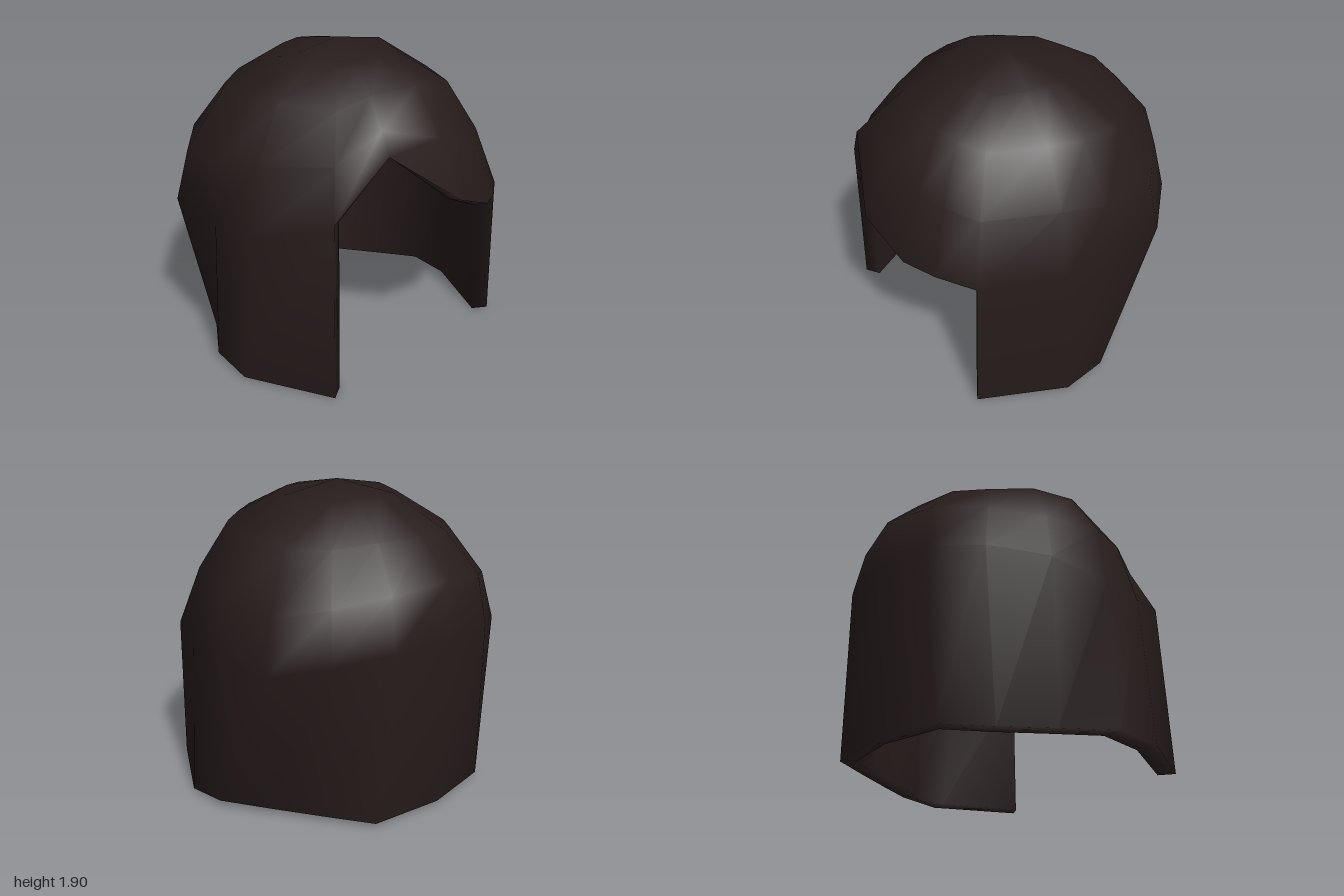
import * as THREE from 'three';

// Columns: plan position and height of the widest ring, fullness of the dome,
// heights of the three rings above it, and (for sides and back) the lower hem.
const half = [
  { mid: [0.93, 0.93, 0.24], full: 0.93, rise: [1.82, 1.64, 1.33], hem: [1.0, 0.01, 0.22] },
  { mid: [0.95, 0.93, -0.06], full: 1, rise: [1.84, 1.64, 1.31], hem: [0.99, 0.04, -0.06] },
  { mid: [0.94, 0.95, -0.48], full: 0.96, rise: [1.81, 1.6, 1.26], hem: [0.81, 0.035, -0.34] },
  { mid: [0.7, 1.02, -0.75], full: 0.96, rise: [1.81, 1.6, 1.32], hem: [0.63, 0.03, -0.61] },
  { mid: [0.39, 1.08, -0.93], full: 0.98, rise: [1.83, 1.63, 1.38], hem: [0.46, 0.03, -0.87] },
];
const backCentre = { mid: [0, 1.09, -1.0], full: 0.99, rise: [1.84, 1.64, 1.42], hem: [0, 0.03, -0.94] };

// Front corners, higher on the right where the fringe parts
const rightCorner = { mid: [-0.71, 1.1, 0.71], full: 0.89, rise: [1.81, 1.63, 1.38], hem: [-0.73, 0, 0.735] };
const leftCorner = { mid: [0.73, 0.945, 0.715], full: 0.89, rise: [1.81, 1.63, 1.32], hem: [0.73, 0, 0.735] };

// Swept fringe, from the model's left to its right
const fringe = [
  { mid: [0.52, 0.97, 0.86], full: 0.88, rise: [1.82, 1.66, 1.35] },
  { mid: [0.33, 0.99, 0.95], full: 0.87, rise: [1.83, 1.69, 1.38] },
  { mid: [0, 1.13, 1.0], full: 0.86, rise: [1.84, 1.72, 1.46] },
  { mid: [-0.4, 1.44, 0.81], full: 0.9, rise: [1.83, 1.7, 1.55] },
];

const flip = ([x, y, z]) => [-x, y, z];
const columns = [
  rightCorner,
  ...half.map((c) => ({ ...c, mid: flip(c.mid), hem: flip(c.hem) })),
  backCentre,
  ...[...half].reverse(),
  leftCorner,
  ...fringe,
];

function columnPoints({ mid: [x, y, z], full, rise, hem }) {
  const points = [0.4, 0.74, 0.96].map((f, i) => [x * f * full, rise[i], z * f * full]);
  points.push([x, y, z]);
  if (hem) points.push(hem);
  return points;
}

// The lining follows the outside, drawn inwards
function inset([x, y, z], row) {
  return [x * 0.875, y - [0.07, 0.07, 0.05, 0.02, 0][row], z * 0.92];
}

function hairGeometry() {
  const positions = [];
  const index = [];
  const add = (p) => positions.push(...p) / 3 - 1;
  const quad = (a, b, c, d) => index.push(a, b, c, a, c, d);

  const apexOut = add([0, 1.9, -0.03]);
  const apexIn = add([0, 1.83, -0.03]);
  const outer = [];
  const inner = [];
  for (const column of columns) {
    const points = columnPoints(column);
    outer.push(points.map(add));
    inner.push(points.map((p, row) => add(inset(p, row))));
  }

  // Outside and lining
  const n = columns.length;
  for (let i = 0; i < n; i++) {
    const j = (i + 1) % n;
    index.push(apexOut, outer[j][0], outer[i][0]);
    index.push(apexIn, inner[i][0], inner[j][0]);
    const rows = Math.min(outer[i].length, outer[j].length);
    for (let r = 0; r < rows - 1; r++) {
      quad(outer[i][r], outer[j][r], outer[j][r + 1], outer[i][r + 1]);
      quad(inner[j][r], inner[i][r], inner[i][r + 1], inner[j][r + 1]);
    }
  }

  // Rim along the hem, up one face edge, across the fringe and down the other
  const last = columns.indexOf(leftCorner);
  const rim = [];
  for (let i = 0; i <= last; i++) rim.push([i, 4]);
  for (let i = last; i < n; i++) rim.push([i, 3]);
  rim.push([0, 3]);
  rim.forEach(([i, r], k) => {
    const [j, s] = rim[(k + 1) % rim.length];
    quad(outer[i][r], outer[j][s], inner[j][s], inner[i][r]);
  });

  const geometry = new THREE.BufferGeometry();
  geometry.setAttribute('position', new THREE.Float32BufferAttribute(positions, 3));
  geometry.setIndex(index);
  geometry.computeVertexNormals();
  return geometry;
}

export function createModel() {
  const darkBrown = new THREE.MeshStandardMaterial({ color: 0x261b1b });
  darkBrown.name = 'darkBrown';

  const hair = new THREE.Mesh(hairGeometry(), darkBrown);
  hair.name = 'bobHair';

  const model = new THREE.Group();
  model.name = 'hairpiece';
  model.add(hair);
  return model;
}
